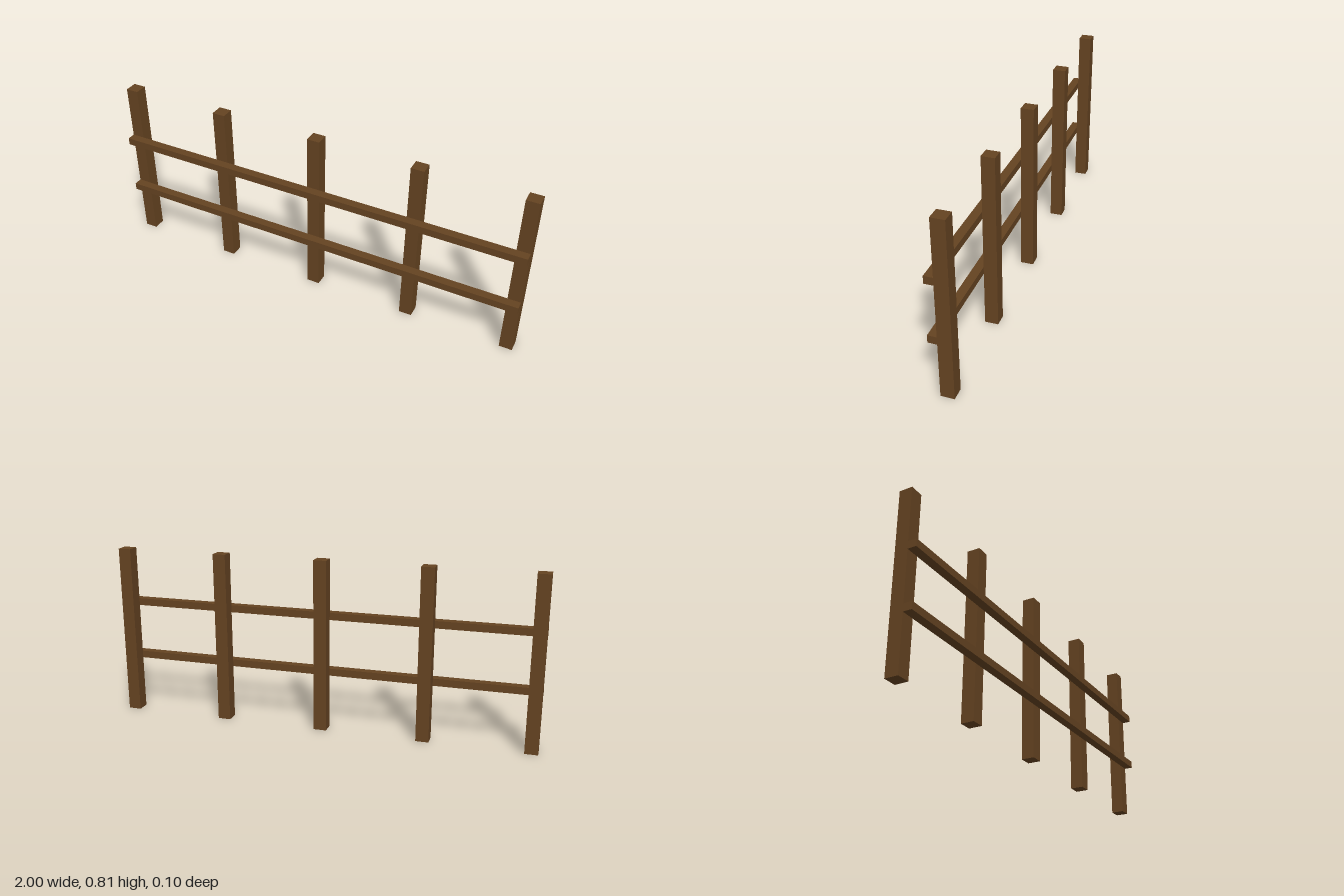
import * as THREE from 'three';

export function createModel() {
  const group = new THREE.Group();
  const wood = new THREE.MeshStandardMaterial({ color: 0x654321 });
  wood.name = 'dark brown wood';

  function addBeam(name, size, position) {
    const mesh = new THREE.Mesh(new THREE.BoxGeometry(...size), wood);
    mesh.name = name;
    mesh.position.set(...position);
    group.add(mesh);
  }

  // Five evenly spaced square posts
  const height = 0.808;
  for (let i = -2; i <= 2; i++) {
    addBeam(`post${i + 3}`, [0.06, height, 0.06], [i * 0.485, height / 2, -0.02]);
  }

  // Two rails fixed to the front of the posts
  addBeam('lowerRail', [2, 0.034, 0.04], [0, 0.27, 0.03]);
  addBeam('upperRail', [2, 0.034, 0.04], [0, 0.539, 0.03]);

  return group;
}
